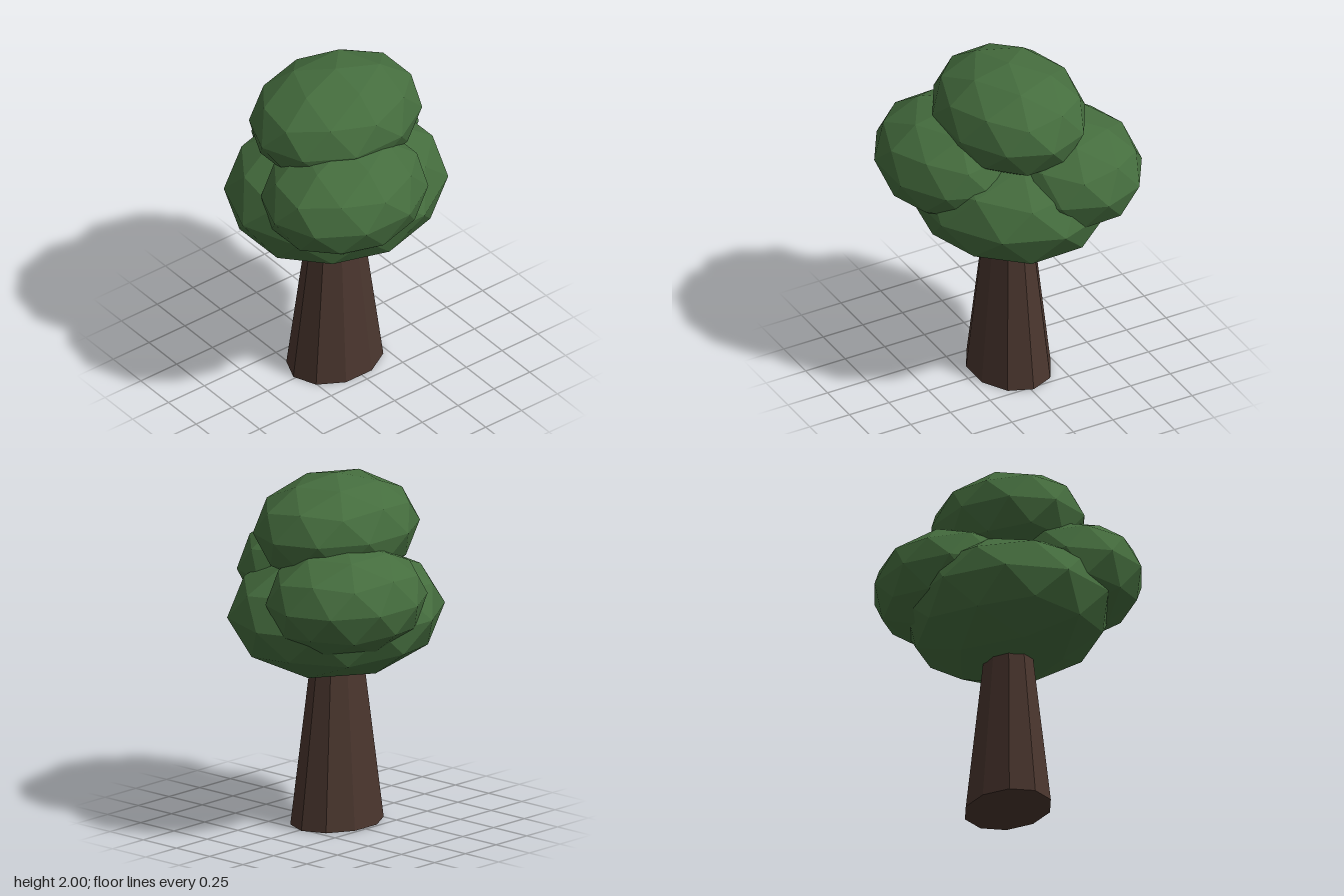
import * as THREE from 'three';

const leafGreen = new THREE.MeshStandardMaterial({ name: 'leafGreen', color: 0x456d3e, flatShading: true });
const barkBrown = new THREE.MeshStandardMaterial({ name: 'barkBrown', color: 0x4a362e, flatShading: true });

// Unit icosphere with its poles on the y axis
function createIcosphere() {
  const points = [0, 1, 0, 0, -1, 0];
  const faces = [];
  const h = 1 / Math.sqrt(5), r = 2 * h;
  for (let k = 0; k < 5; k++) {
    const a = k * Math.PI * 0.4, b = a + Math.PI / 5;
    points.push(r * Math.cos(a), h, r * Math.sin(a));
    points.push(r * Math.cos(b), -h, r * Math.sin(b));
    const n = (k + 1) % 5;
    const u0 = 2 + 2 * k, l0 = u0 + 1, u1 = 2 + 2 * n, l1 = u1 + 1;
    faces.push(0, u1, u0, u0, u1, l0, l0, u1, l1, l0, l1, 1);
  }
  return new THREE.PolyhedronGeometry(points, faces, 1, 1);
}

export function createModel() {
  const tree = new THREE.Group();
  tree.name = 'tree';

  // Tapered ten-sided trunk, oval in section, running up into the crown
  const height = 1.1;
  const trunkGeometry = new THREE.CylinderGeometry(0.487, 1, height, 10);
  trunkGeometry.scale(0.229, 1, 0.29);
  const trunk = new THREE.Mesh(trunkGeometry, barkBrown);
  trunk.name = 'trunk';
  trunk.position.set(-0.015, height / 2, 0.02);
  tree.add(trunk);

  // Overlapping leaf clumps: name, centre, radii
  const clumps = [
    ['lowerFoliage', [-0.015, 1.21, 0.012], [0.568, 0.362, 0.65]],
    ['rightFoliage', [-0.27, 1.36, -0.178], [0.415, 0.31, 0.49]],
    ['leftFoliage', [0.27, 1.395, 0.172], [0.415, 0.31, 0.49]],
    ['topFoliage', [-0.015, 1.69, 0.015], [0.415, 0.31, 0.515]],
  ];
  for (const [name, centre, radii] of clumps) {
    const clump = new THREE.Mesh(createIcosphere().scale(...radii), leafGreen);
    clump.name = name;
    clump.position.set(...centre);
    tree.add(clump);
  }
  return tree;
}
